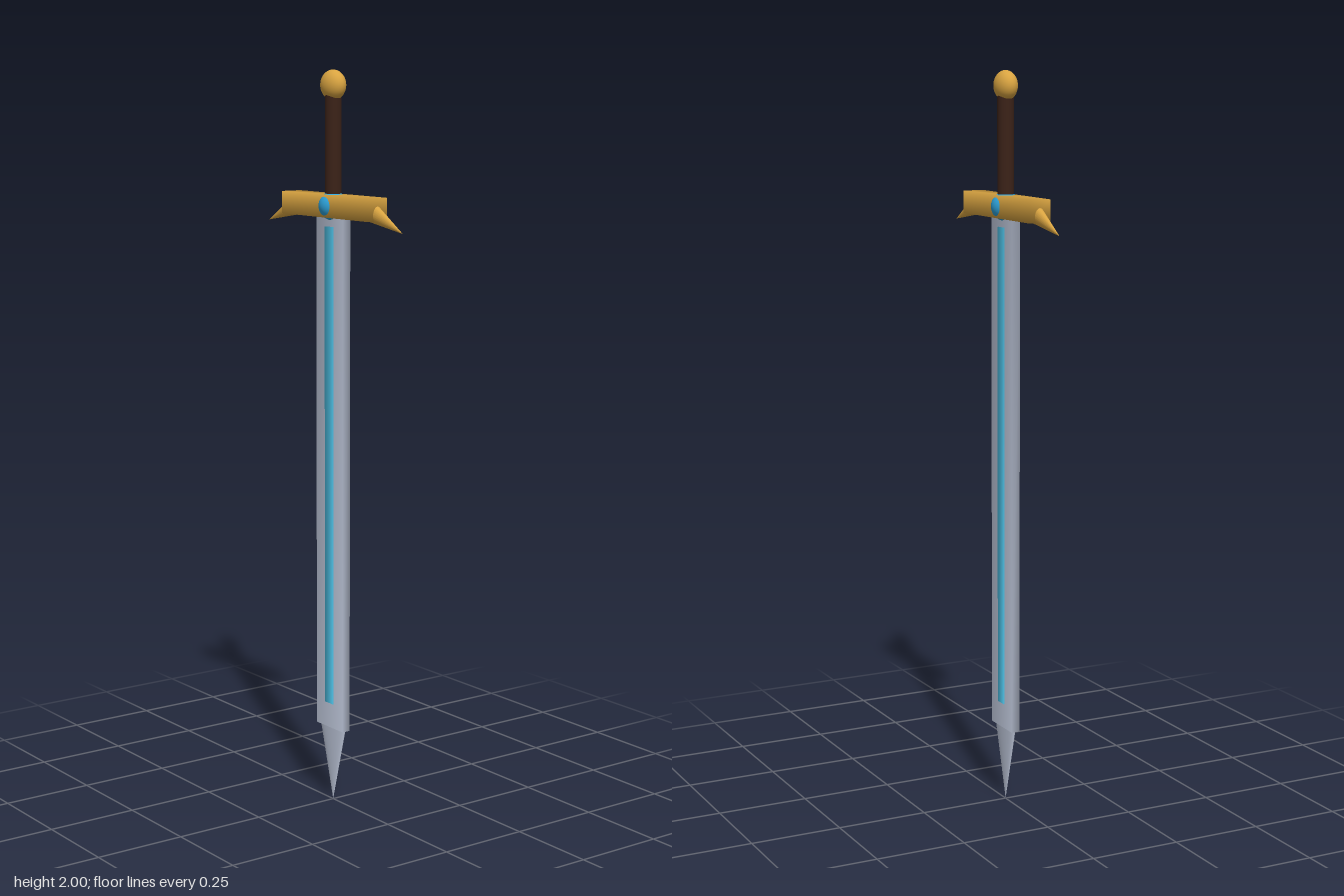
import * as THREE from 'three';
import { mergeVertices } from 'three/addons/utils/BufferGeometryUtils.js';

const material = (color) => new THREE.MeshStandardMaterial({ color });
const gold = material(0xd9a441);
const steel = material(0xc3cce0);
const glow = material(0x4fc3e8);
const gemBlue = material(0x2fa4dc);
const leather = material(0x3b2218);

// Box whose shared corners give soft, rounded shading
function softBox(w, h, d) {
  const box = new THREE.BoxGeometry(w, h, d);
  box.deleteAttribute('normal');
  box.deleteAttribute('uv');
  const geometry = mergeVertices(box);
  geometry.computeVertexNormals();
  return geometry;
}

export function createModel() {
  const sword = new THREE.Group();
  sword.name = 'sword';

  function add(name, geometry, mat, x, y) {
    const mesh = new THREE.Mesh(geometry, mat);
    mesh.name = name;
    mesh.position.set(x, y, 0);
    sword.add(mesh);
    return mesh;
  }

  // Blade, its inlaid strip on both faces, and the flattened point
  add('blade', softBox(0.12, 1.41, 0.024), steel, 0, 0.915);
  add('bladeInlay', softBox(0.036, 1.31, 0.03), glow, 0, 0.935);
  const tip = new THREE.ConeGeometry(0.055, 0.21, 32);
  tip.rotateX(Math.PI);
  tip.scale(1, 1, 0.2);
  add('bladeTip', tip, steel, 0, 0.105);

  // Crossguard with a round gem at its centre
  add('crossguard', softBox(0.388, 0.06, 0.06), gold, 0, 1.645);
  add('gem', new THREE.SphereGeometry(0.039, 32, 20), gemBlue, 0, 1.645);

  // Drooping spikes, one at each end of the guard
  const length = 0.155;
  const droop = THREE.MathUtils.degToRad(20);
  for (const side of [1, -1]) {
    const cone = new THREE.ConeGeometry(0.03, length, 24);
    cone.scale(1, 1, 0.67);
    cone.translate(0, -length / 2, 0); // tip at the origin
    cone.rotateZ(-side * (Math.PI / 2 + droop));
    add(side > 0 ? 'leftGuardSpike' : 'rightGuardSpike', cone, gold, side * 0.3, 1.59);
  }

  // Grip and flattened pommel
  add('grip', new THREE.CylinderGeometry(0.022, 0.022, 0.29, 24), leather, 0, 1.8);
  const pommel = new THREE.SphereGeometry(0.042, 32, 20);
  pommel.scale(1, 0.95, 0.7);
  add('pommel', pommel, gold, 0, 1.96);

  return sword;
}
